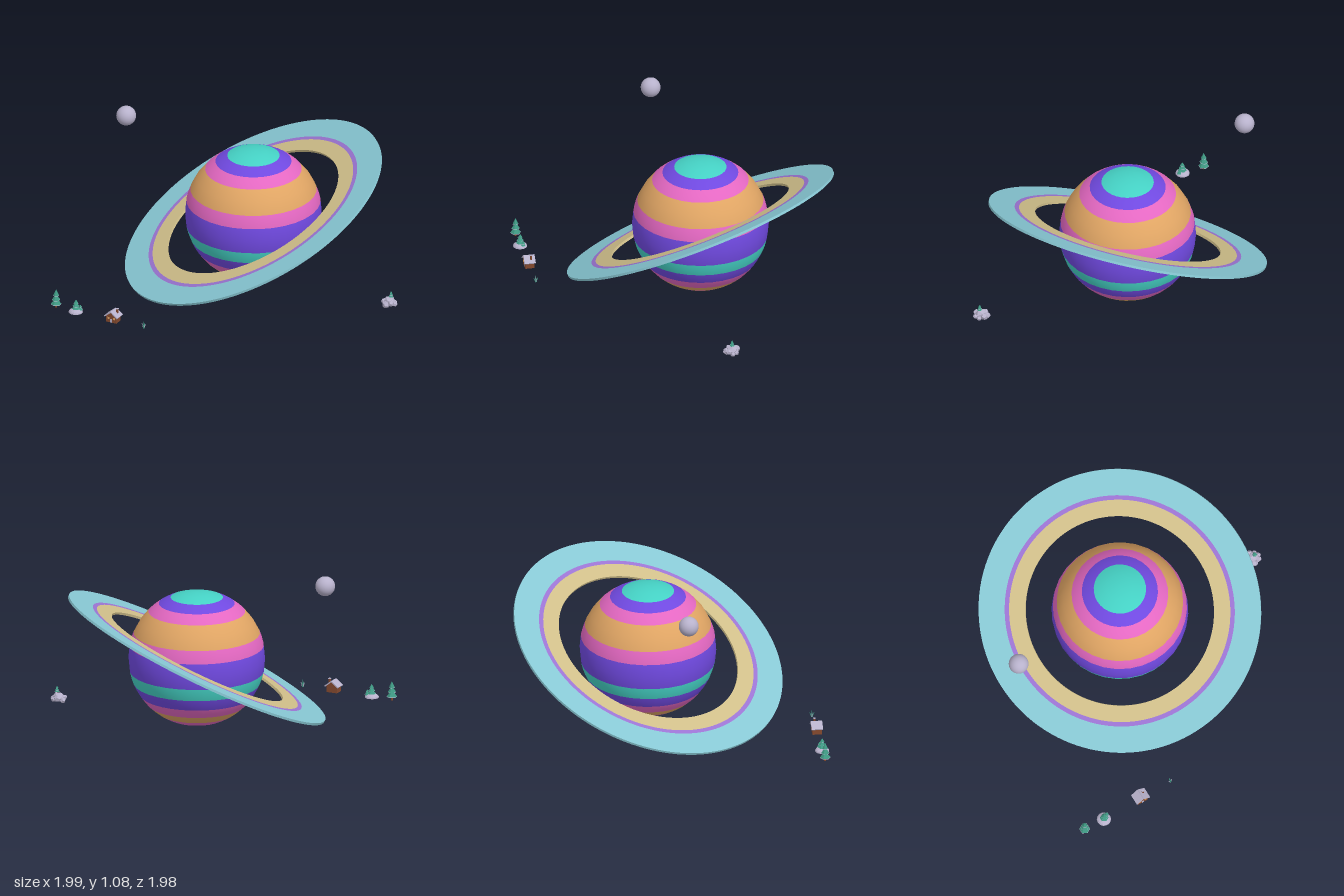
import * as THREE from 'three';

const mat = (name, color) => {
  const m = new THREE.MeshStandardMaterial({ color });
  m.name = name;
  return m;
};

export function createModel() {
  const teal = mat('turquoise', 0x45d2c5);
  const violet = mat('violet', 0x7049e0);
  const pink = mat('pink', 0xe468c2);
  const orange = mat('sandy orange', 0xe0a564);
  const ringBlue = mat('ring blue', 0x88c8d4);
  const ringPurple = mat('ring purple', 0x9b74d2);
  const ringTan = mat('ring tan', 0xd0bf8a);
  const stone = mat('pale lavender', 0xb8b2cc);
  const green = mat('pine green', 0x3f9a84);
  const wood = mat('wood brown', 0x84492e);

  const root = new THREE.Group();
  root.name = 'ringedPlanet';
  const group = (name, x, y, z, parent = root) => {
    const g = new THREE.Group();
    g.name = name;
    g.position.set(x, y, z);
    parent.add(g);
    return g;
  };
  const add = (parent, name, geo, material, x = 0, y = 0, z = 0) => {
    const m = new THREE.Mesh(geo, material);
    m.name = name;
    m.position.set(x, y, z);
    parent.add(m);
    return m;
  };
  // Faceted look for the low-poly scenery
  const flat = (geo) => {
    const g = geo.index ? geo.toNonIndexed() : geo;
    g.computeVertexNormals();
    return g;
  };

  // Planet: sixteen latitude rows gathered into coloured bands, from the north pole down
  const planet = group('planet', -0.073, 0.462, -0.106);
  const bands = [
    [teal, 2], [violet, 1], [pink, 1], [orange, 2], [pink, 1], [violet, 2],
    [teal, 1], [violet, 1], [pink, 1], [orange, 1], [pink, 1], [violet, 2],
  ];
  let row = 0;
  bands.forEach(([material, rows], i) => {
    const geo = new THREE.SphereGeometry(0.446, 32, rows, 0, Math.PI * 2, (row * Math.PI) / 16, (rows * Math.PI) / 16);
    add(planet, 'band' + (i + 1), geo, material);
    row += rows;
  });

  // Tilted ring made of three flat annuli
  const ring = group('ring', -0.073, 0.46, -0.106);
  ring.quaternion.setFromUnitVectors(
    new THREE.Vector3(0, 1, 0),
    new THREE.Vector3(-0.341, 0.892, 0.296).normalize()
  );
  const depth = 0.016;
  const annulus = (name, inner, outer, material) => {
    const s = new THREE.Shape().absarc(0, 0, outer, 0, Math.PI * 2, false);
    s.holes.push(new THREE.Path().absarc(0, 0, inner, 0, Math.PI * 2, true));
    const geo = new THREE.ExtrudeGeometry(s, { depth, bevelEnabled: false, curveSegments: 64 });
    geo.translate(0, 0, -depth / 2).rotateX(-Math.PI / 2);
    add(ring, name, geo, material);
  };
  annulus('innerRing', 0.62, 0.728, ringTan);
  annulus('middleRing', 0.728, 0.757, ringPurple);
  annulus('outerRing', 0.757, 0.929, ringBlue);

  // Moon
  add(root, 'moon', new THREE.SphereGeometry(0.065, 24, 16), stone, -0.934, 1.027, 0.046);

  // Pine: trunk and three tiers with snowy rims, in units of its own height
  const pine = (parent, x, y, z, h, r) => {
    const g = group('pineTree', x, y, z, parent);
    add(g, 'trunk', flat(new THREE.CylinderGeometry(r * 0.16, r * 0.2, h * 0.25, 6)), wood, 0, h * 0.125, 0);
    [[0.2, 1, 0.36], [0.44, 0.78, 0.32], [0.68, 0.54, 0.32]].forEach(([b, k, t]) => {
      add(g, 'snowRim', flat(new THREE.CylinderGeometry(r * k * 0.9, r * k, h * 0.03, 6)), stone, 0, h * b, 0);
      add(g, 'needles', flat(new THREE.ConeGeometry(r * k * 0.95, h * t, 6)), green, 0, h * (b + t / 2), 0);
    });
    return g;
  };
  pine(root, -0.968, 0.01, 0.938, 0.13, 0.036);

  // Snowy mound with a few small pines
  const mound = group('snowMound', -0.822, 0.01, 0.938);
  const dome = new THREE.SphereGeometry(0.047, 14, 5, 0, Math.PI * 2, 0, Math.PI / 2).scale(1, 0.55, 1);
  add(mound, 'snow', flat(dome), stone);
  add(mound, 'moundBase', new THREE.CircleGeometry(0.047, 14).rotateX(Math.PI / 2), stone);
  pine(mound, 0.002, 0.01, 0, 0.08, 0.03);
  pine(mound, 0.027, 0.008, -0.014, 0.045, 0.017);

  // Cabin with its gable to the front
  const cabin = group('cabin', -0.543, 0.01, 0.938);
  const gable = new THREE.Shape([
    [-0.038, 0], [0.038, 0], [0.038, 0.042], [0, 0.072], [-0.038, 0.042],
  ].map(([x, y]) => new THREE.Vector2(x, y)));
  const walls = new THREE.ExtrudeGeometry(gable, { depth: 0.06, bevelEnabled: false });
  add(cabin, 'walls', walls.translate(0, 0, -0.03), wood);
  for (const s of [-1, 1]) {
    const slab = add(cabin, 'roof', new THREE.BoxGeometry(0.061, 0.008, 0.075), stone, s * 0.024, 0.058, 0);
    slab.rotation.z = -s * 0.67;
    add(cabin, 'window', new THREE.BoxGeometry(0.014, 0.014, 0.003), orange, s * 0.02, 0.03, 0.03);
  }
  add(cabin, 'door', new THREE.BoxGeometry(0.015, 0.026, 0.003), stone, 0, 0.013, 0.03);
  add(cabin, 'chimney', new THREE.BoxGeometry(0.012, 0.036, 0.012), wood, 0.024, 0.07, -0.01);
  add(cabin, 'chimneySnow', new THREE.BoxGeometry(0.015, 0.004, 0.015), stone, 0.024, 0.089, -0.01);

  // Small sprout: one upright leaf and a fan of leaning ones
  const sprout = group('sprout', -0.317, 0.01, 0.938);
  add(sprout, 'leaf', flat(new THREE.ConeGeometry(0.007, 0.05, 5)), green, 0, 0.025, 0);
  for (let i = 0; i < 4; i++) {
    const arm = group('sideLeaf', 0, 0.004, 0, sprout);
    arm.rotation.set(0, (i * Math.PI) / 2, -0.5);
    add(arm, 'leaf', flat(new THREE.ConeGeometry(0.006, 0.036, 5)), i % 2 ? green : stone, 0, 0.018, 0);
  }

  // Rock cluster with a small pine on top
  const rocks = group('rockCluster', 0.937, 0.01, -0.104);
  add(rocks, 'mainRock', flat(new THREE.IcosahedronGeometry(0.038, 0).scale(1.15, 0.85, 1)), stone, 0, 0.045, 0);
  for (let i = 0; i < 7; i++) {
    const a = (i * Math.PI * 2) / 7;
    const r = 0.017 + 0.004 * (i % 3);
    const rock = add(rocks, 'rock', flat(new THREE.DodecahedronGeometry(r, 0)), stone,
      Math.cos(a) * 0.04, 0.03 + 0.012 * (i % 2), Math.sin(a) * 0.033);
    rock.rotation.set(i, i * 2, 0);
  }
  pine(rocks, 0.012, 0.068, 0, 0.05, 0.017);

  return root;
}
